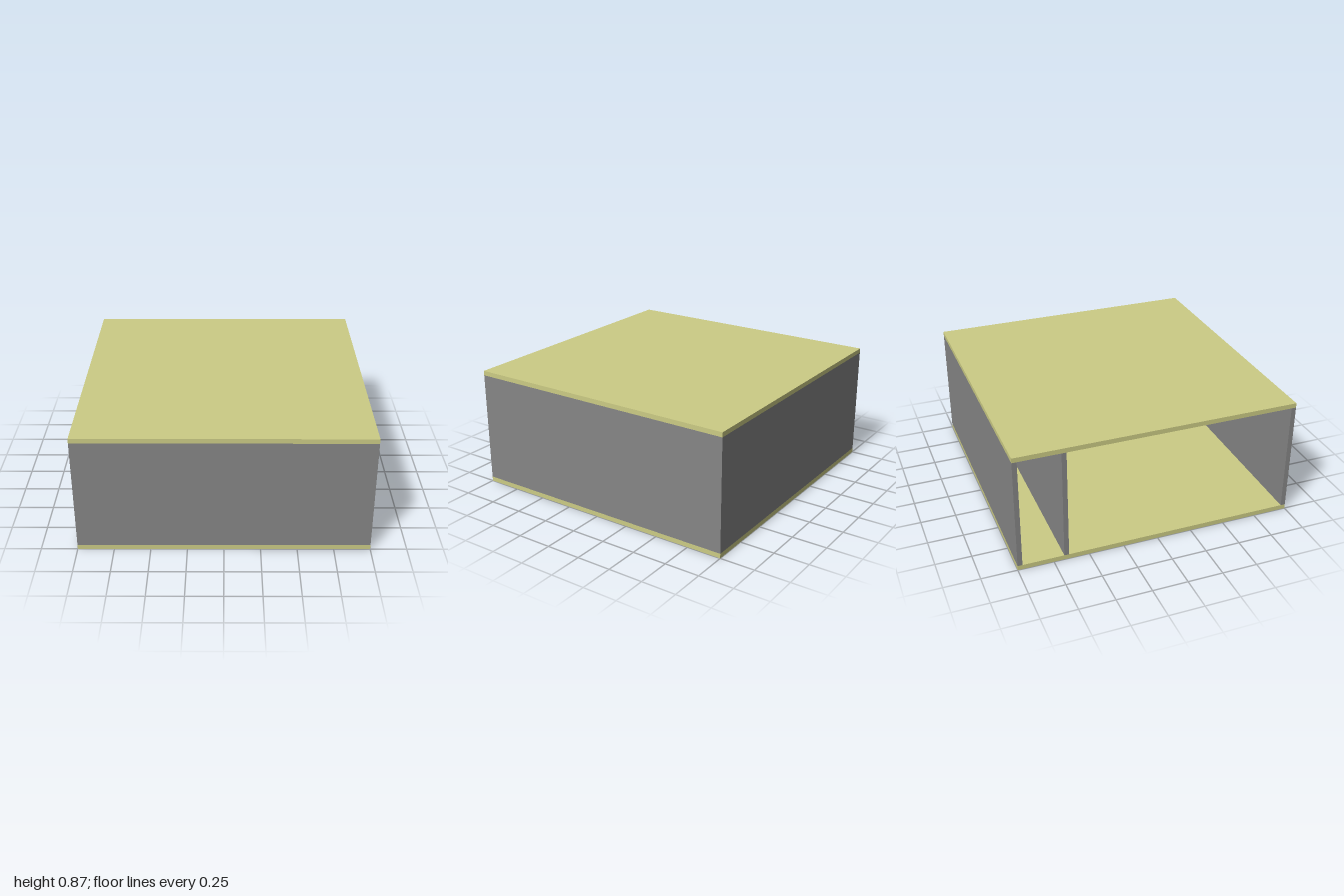
import * as THREE from 'three';

const T = 0.0333; // panel thickness
const H = 0.8; // wall height
const SIZE = 2;

export function createModel() {
  const group = new THREE.Group();
  const slabMaterial = new THREE.MeshStandardMaterial({ color: 0xcccc85 });
  const wallMaterial = new THREE.MeshStandardMaterial({ color: 0x868686 });

  const addPanel = (name, material, [w, h, d], [x, y, z]) => {
    const mesh = new THREE.Mesh(new THREE.BoxGeometry(w, h, d), material);
    mesh.name = name;
    mesh.position.set(x, y, z);
    group.add(mesh);
  };

  // Floor and roof slabs
  addPanel('floor', slabMaterial, [SIZE, T, SIZE], [0, T / 2, 0]);
  addPanel('roof', slabMaterial, [SIZE, T, SIZE], [0, H + T * 1.5, 0]);

  // Walls on three sides; the -x side stays open
  const wallY = T + H / 2;
  const edge = SIZE / 2 - T / 2;
  addPanel('frontWall', wallMaterial, [SIZE, H, T], [0, wallY, edge]);
  addPanel('backWall', wallMaterial, [SIZE, H, T], [0, wallY, -edge]);
  addPanel('leftWall', wallMaterial, [T, H, SIZE - 2 * T], [edge, wallY, 0]);

  // Inner divider forming a narrow bay along the back
  addPanel('partition', wallMaterial, [SIZE - T, H, T], [-T / 2, wallY, -0.66]);

  return group;
}
